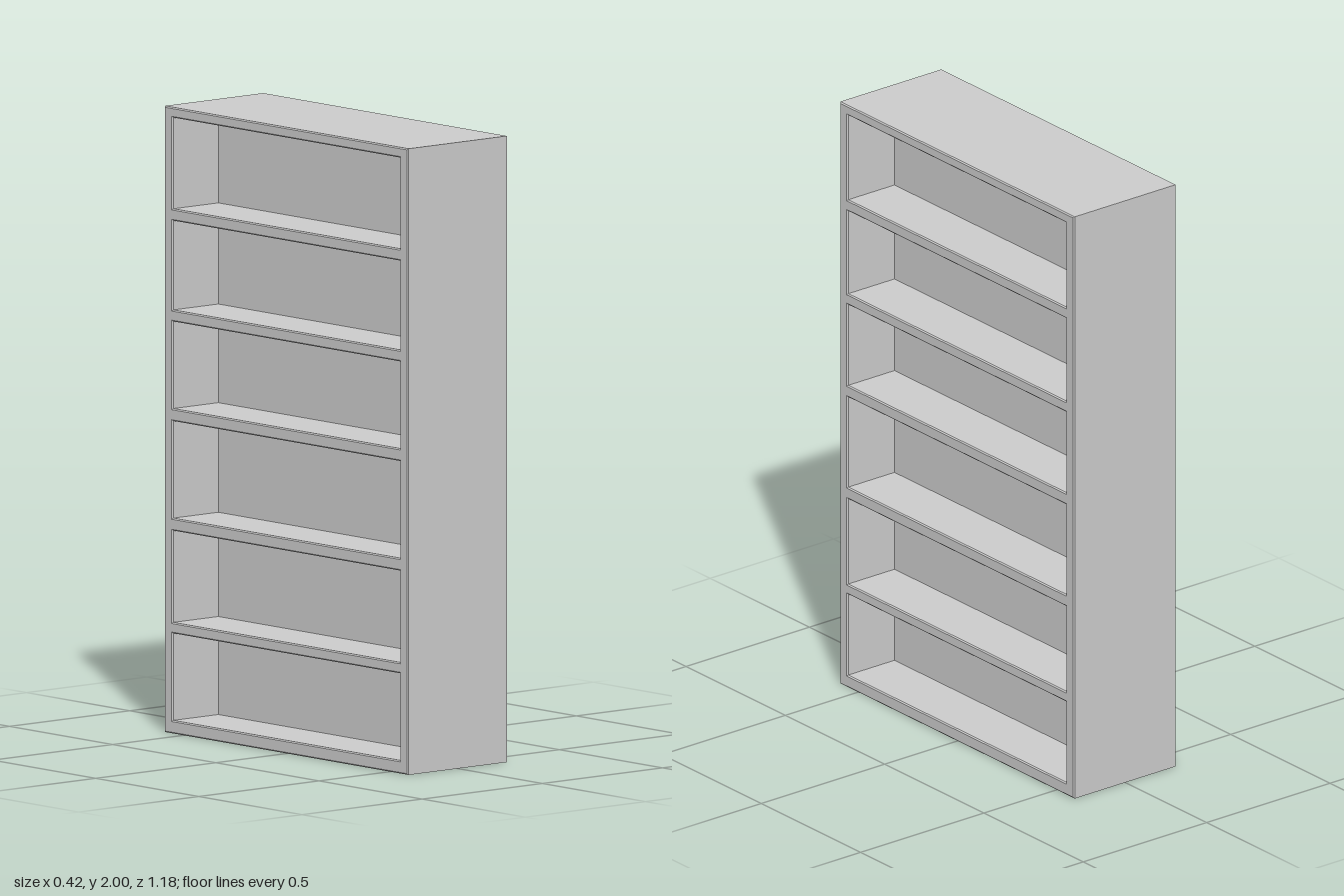
import * as THREE from 'three';

const WIDTH = 0.416, HEIGHT = 2, HALF_LENGTH = 0.59;
const BEVEL = 0.004, PANEL = 0.035;

// bottom and top of each compartment
const COMPARTMENTS = [
  [0.042, 0.32], [0.355, 0.648], [0.688, 0.998],
  [1.038, 1.316], [1.353, 1.638], [1.676, 1.967],
];

function rectangle(PathType, half, y0, y1) {
  const p = new PathType();
  p.moveTo(-half, y0);
  p.lineTo(half, y0);
  p.lineTo(half, y1);
  p.lineTo(-half, y1);
  p.closePath();
  return p;
}

export function createModel() {
  const model = new THREE.Group();
  model.name = 'doubleSidedBookcase';
  const material = new THREE.MeshStandardMaterial({ color: 0xcccccc, flatShading: true });

  // Case and shelves: a slab pierced by the compartments, with fine chamfers
  const outline = rectangle(THREE.Shape, HALF_LENGTH, 0, HEIGHT);
  for (const [y0, y1] of COMPARTMENTS) {
    outline.holes.push(rectangle(THREE.Path, 0.55, y0, y1));
  }
  const caseGeometry = new THREE.ExtrudeGeometry(outline, {
    depth: WIDTH - 2 * BEVEL,
    bevelEnabled: true,
    bevelThickness: BEVEL,
    bevelSize: BEVEL,
    bevelOffset: -BEVEL,
    bevelSegments: 1,
  });
  caseGeometry.translate(0, 0, BEVEL - WIDTH / 2);
  caseGeometry.rotateY(Math.PI / 2);
  const frame = new THREE.Mesh(caseGeometry, material);
  frame.name = 'caseAndShelves';
  model.add(frame);

  // Dividing panel shared by the shelves of both open sides
  const divider = new THREE.Mesh(
    new THREE.BoxGeometry(PANEL, HEIGHT - 0.05, 2 * HALF_LENGTH - 0.05), material);
  divider.position.y = HEIGHT / 2;
  divider.name = 'dividingPanel';
  model.add(divider);

  return model;
}
